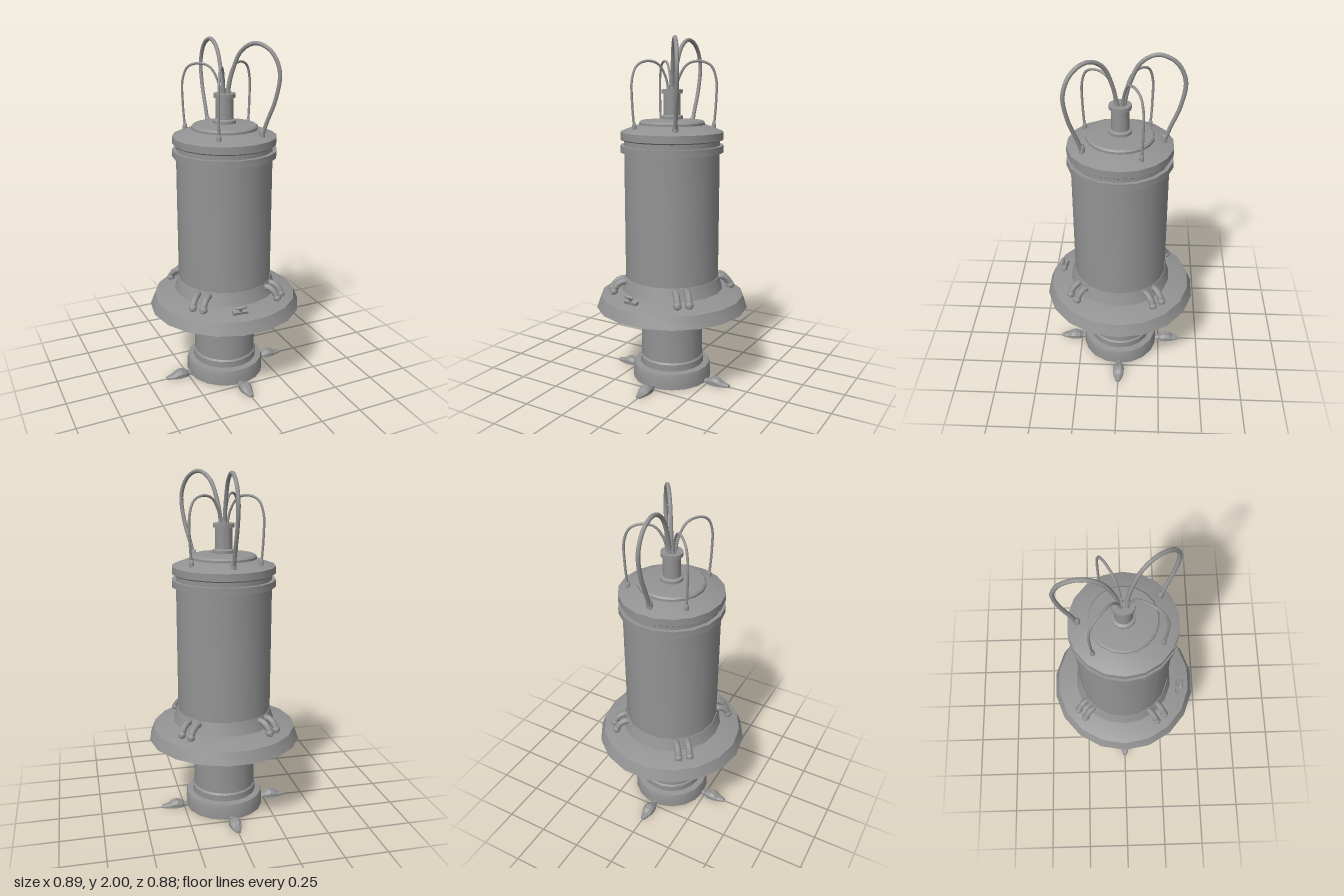
import * as THREE from 'three';
import { toCreasedNormals } from 'three/addons/utils/BufferGeometryUtils.js';

const color = 0x939393;
const material = new THREE.MeshStandardMaterial({ color });
const flatMaterial = new THREE.MeshStandardMaterial({ color, flatShading: true });
const shellMaterial = new THREE.MeshStandardMaterial({ color, side: THREE.DoubleSide });
const V = (x, y, z = 0) => new THREE.Vector3(x, y, z);

function add(parent, name, geometry, mat = material) {
  const mesh = new THREE.Mesh(geometry, mat);
  mesh.name = name;
  parent.add(mesh);
  return mesh;
}

// Turned part: profile of [radius, y] from bottom to top, 18 sides, corner on +x
function turned(parent, name, profile, mat = material) {
  const geo = new THREE.LatheGeometry(profile.map(([r, y]) => new THREE.Vector2(r, y)), 18);
  geo.rotateY(Math.PI / 2);
  return add(parent, name, toCreasedNormals(geo, 0.45), mat);
}

// Group whose local +x points at the given angle (degrees from +x towards +z)
function spoke(parent, name, degrees) {
  const group = new THREE.Group();
  group.name = name;
  group.rotation.y = -THREE.MathUtils.degToRad(degrees);
  parent.add(group);
  return group;
}

function tube(points, radius, segments = 32, sides = 8) {
  return new THREE.TubeGeometry(new THREE.CatmullRomCurve3(points), segments, radius, sides);
}

// Claw foot lofted from sections [distance, half width, height]
function footGeometry() {
  const sections = [
    [0.225, 0.016, 0.02], [0.25, 0.018, 0.022], [0.266, 0.03, 0.034], [0.295, 0.034, 0.044],
    [0.322, 0.032, 0.038], [0.345, 0.026, 0.022], [0.386, 0.012, 0.014],
  ];
  const pos = [], idx = [], n = 6;
  sections.forEach(([x, w, h], s) => {
    for (const [z, y] of [[-1, 0], [-1, 0.6], [-0.5, 1], [0.5, 1], [1, 0.6], [1, 0]]) pos.push(x, y * h, z * w);
    if (s === sections.length - 1) return;
    for (let i = 0; i < n; i++) {
      const a = s * n + i, b = s * n + (i + 1) % n;
      idx.push(a, b, b + n, a, b + n, a + n);
    }
  });
  const last = (sections.length - 1) * n;
  for (let i = 1; i < n - 1; i++) idx.push(last, last + i, last + i + 1);
  const geo = new THREE.BufferGeometry();
  geo.setAttribute('position', new THREE.Float32BufferAttribute(pos, 3));
  geo.setIndex(idx);
  geo.computeVertexNormals();
  return geo;
}

export function createModel() {
  const model = new THREE.Group();
  model.name = 'canister';

  // Base and lower column: one thin shell, open at the bottom
  turned(model, 'base', [[0.233, 0], [0.233, 0.068], [0.226, 0.092], [0.191, 0.097]], shellMaterial);
  turned(model, 'columnCollar', [[0.191, 0.097], [0.191, 0.135], [0.183, 0.145]], shellMaterial);
  turned(model, 'column', [[0.183, 0.145], [0.183, 0.46]], shellMaterial);

  // Wide flange and the tapered seat of the body
  turned(model, 'flange', [[0.17, 0.432], [0.447, 0.452], [0.42, 0.522], [0.3, 0.56], [0.25, 0.56]]);
  turned(model, 'bodySeat', [[0.302, 0.555], [0.278, 0.632], [0.26, 0.632]]);

  // Main body, clamp ring and lid
  turned(model, 'body', [[0.274, 0.6], [0.274, 1.44]]);
  turned(model, 'clampRing', [[0.26, 1.363], [0.296, 1.363], [0.296, 1.402], [0.26, 1.402]]);
  turned(model, 'lid', [[0, 1.43], [0.285, 1.43], [0.294, 1.437], [0.294, 1.478], [0.19, 1.517], [0, 1.517]]);
  turned(model, 'lidDisc', [[0.187, 1.51], [0.187, 1.53], [0.178, 1.539], [0.06, 1.549], [0, 1.549]]);

  // Neck that the cables leave from
  turned(model, 'neck', [[0.064, 1.54], [0.064, 1.565], [0.049, 1.572], [0.049, 1.69], [0.061, 1.69], [0.061, 1.712], [0, 1.712]]);

  // Claw feet
  const foot = footGeometry();
  for (let i = 0; i < 4; i++) add(spoke(model, 'foot', i * 90), 'footClaw', foot, flatMaterial);

  // Four pairs of short bent pipes with rounded ends between body seat and flange
  const pipe = tube([V(0.26, 0.605), V(0.288, 0.614), V(0.318, 0.603), V(0.34, 0.58), V(0.358, 0.542)], 0.019, 12, 8);
  const pipeEnd = new THREE.SphereGeometry(0.024, 10, 8);
  for (let i = 0; i < 4; i++) {
    const pair = spoke(model, 'pipePair', 49.5 + i * 90);
    for (const side of [-1, 1]) {
      add(pair, 'pipe', pipe).position.z = side * 0.033;
      add(pair, 'pipeEnd', pipeEnd).position.set(0.35, 0.557, side * 0.033);
    }
  }

  // Small tap on the flange front
  const tap = new THREE.Group();
  tap.name = 'tap';
  tap.position.set(-0.062, 0.55, 0.347);
  tap.rotation.y = -0.12;
  model.add(tap);
  add(tap, 'tapBase', new THREE.BoxGeometry(0.088, 0.018, 0.026)).rotation.x = 0.3;
  const stem = add(tap, 'tapStem', new THREE.CylinderGeometry(0.008, 0.01, 0.045, 8));
  stem.position.set(0, 0.019, 0.008);
  stem.rotation.x = 0.5;
  const handle = add(tap, 'tapHandle', new THREE.SphereGeometry(1, 10, 8));
  handle.scale.set(0.036, 0.011, 0.014);
  handle.position.set(0, 0.036, 0.018);

  // Looping cables from neck to lid: two thick and tall, three thin and low
  const tall = tube([V(0.018, 1.7), V(0.045, 1.82), V(0.105, 1.945), V(0.19, 1.988), V(0.283, 1.95),
    V(0.334, 1.85), V(0.315, 1.71), V(0.265, 1.58), V(0.238, 1.5)], 0.0115, 48);
  const low = tube([V(0.022, 1.7), V(0.04, 1.78), V(0.085, 1.85), V(0.15, 1.868), V(0.215, 1.845),
    V(0.246, 1.775), V(0.248, 1.65), V(0.237, 1.5)], 0.007, 40);
  const cables = [[-90, tall, 1.25], [55.5, tall, 1.25], [-30, low, 1], [121.5, low, 1], [-137, low, 1]];
  const plug = new THREE.LatheGeometry(
    [[0.013, -0.008], [0.013, 0.014], [0.009, 0.032], [0, 0.034]].map(([r, y]) => new THREE.Vector2(r, y)), 10);
  const socket = new THREE.CylinderGeometry(0.01, 0.012, 0.03, 10);
  for (const [angle, geometry, size] of cables) {
    const cable = spoke(model, 'cable', angle);
    add(cable, 'cableLoop', geometry);
    const end = add(cable, 'cablePlug', plug);
    end.position.set(0.237, 1.5, 0);
    end.scale.setScalar(size);
    const start = add(cable, 'cableSocket', socket);
    start.position.set(0.022, 1.722, 0);
    start.scale.setScalar(size);
  }
  return model;
}
